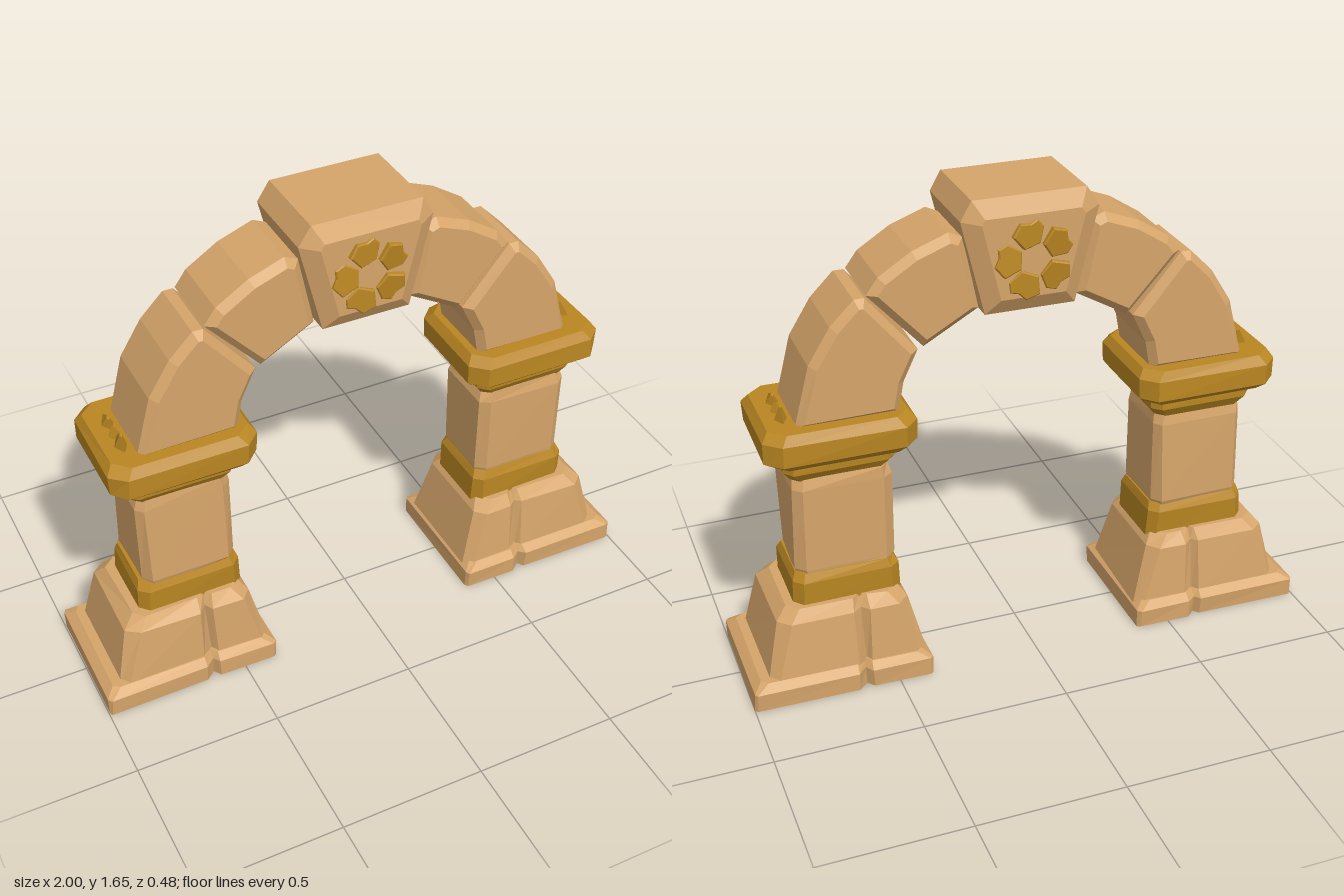
import * as THREE from 'three';

const sandstone = new THREE.MeshStandardMaterial({ color: 0xd6a56a, flatShading: true });
sandstone.name = 'sandstone';
const gold = new THREE.MeshStandardMaterial({ color: 0xb98622, flatShading: true });
gold.name = 'old gold';

// Small seeded noise for the hewn look
let seed = 7;
const rough = (amount) => {
  seed = (seed * 16807) % 2147483647;
  return (seed / 2147483647 - 0.5) * 2 * amount;
};

function addMesh(parent, name, geometry, material) {
  const mesh = new THREE.Mesh(geometry, material);
  mesh.name = name;
  parent.add(mesh);
  return mesh;
}

// Rectangle with cut corners; optional V-shaped cracks in front and back
function outline(w, d, c, crack) {
  const pts = [[-w + c, -d]];
  if (crack !== undefined) pts.push([crack - 0.03, -d], [crack, -d + 0.03], [crack + 0.02, -d + 0.004]);
  pts.push([w - c, -d], [w, -d + c], [w, d - c], [w - c, d]);
  if (crack !== undefined) pts.push([crack + 0.03, d], [crack, d - 0.025], [crack - 0.02, d - 0.004]);
  pts.push([-w + c, d], [-w, d - c], [-w, -d + c]);
  return pts;
}

// Stack outlines given as [y, halfWidth, halfDepth, cornerCut] and close both ends
function loft(rings, crack, noise = 0.003) {
  const verts = [];
  const index = [];
  let n = 0;
  let first, last;
  rings.forEach(([y, w, d, c], r) => {
    const pts = outline(w, d, c, crack);
    n = pts.length;
    if (r === 0) first = pts;
    last = pts;
    for (const [u, v] of pts) verts.push(u + rough(noise), y, -v + rough(noise));
  });
  for (let r = 0; r < rings.length - 1; r++) {
    for (let i = 0; i < n; i++) {
      const j = (i + 1) % n;
      const a = r * n + i, b = r * n + j;
      index.push(a, b, b + n, a, b + n, a + n);
    }
  }
  const cap = (pts) => THREE.ShapeUtils.triangulateShape(pts.map(([u, v]) => new THREE.Vector2(u, v)), []);
  const top = (rings.length - 1) * n;
  for (const [a, b, c] of cap(first)) index.push(a, c, b);
  for (const [a, b, c] of cap(last)) index.push(top + a, top + b, top + c);
  const geometry = new THREE.BufferGeometry();
  geometry.setAttribute('position', new THREE.Float32BufferAttribute(verts, 3));
  geometry.setIndex(index);
  geometry.computeVertexNormals();
  return geometry;
}

// Bevelled stone cut from a front outline, reaching halfDepth either way
function wedge(points, halfDepth, bevelSize, bevelThickness) {
  const shape = new THREE.Shape(points.map(([x, y]) => new THREE.Vector2(x, y)));
  const depth = 2 * (halfDepth - bevelThickness);
  const geometry = new THREE.ExtrudeGeometry(shape, {
    depth, bevelEnabled: true, bevelSegments: 1, bevelSize, bevelThickness, bevelOffset: -bevelSize,
  });
  return geometry.translate(0, 0, -depth / 2);
}

function createPillar() {
  const pillar = new THREE.Group();
  pillar.name = 'pillar';
  const stack = (name, x, rings, material, crack, noise) => {
    addMesh(pillar, name, loft(rings, crack, noise), material).position.x = x;
  };
  stack('plinth', -0.69, [
    [0, 0.308, 0.238, 0.01], [0.065, 0.308, 0.24, 0.01], [0.09, 0.275, 0.215, 0.02],
  ], sandstone, 0.08);
  stack('baseBlock', -0.665, [
    [0.07, 0.275, 0.214, 0.03], [0.28, 0.225, 0.192, 0.04], [0.32, 0.19, 0.16, 0.04],
  ], sandstone, 0.06, 0.005);
  stack('lowerBand', -0.64, [
    [0.3, 0.185, 0.142, 0.03], [0.4, 0.18, 0.145, 0.03], [0.43, 0.168, 0.13, 0.03],
  ], gold);
  stack('shaft', -0.637, [
    [0.41, 0.157, 0.125, 0.03], [0.44, 0.167, 0.133, 0.028],
    [0.74, 0.167, 0.133, 0.028], [0.78, 0.157, 0.125, 0.03],
  ], sandstone, undefined, 0.006);
  stack('neckBand', -0.64, [
    [0.765, 0.153, 0.115, 0.025], [0.81, 0.185, 0.145, 0.03], [0.87, 0.185, 0.145, 0.03],
  ], gold);
  stack('capital', -0.64, [
    [0.855, 0.228, 0.185, 0.05], [0.88, 0.25, 0.208, 0.05],
    [0.95, 0.25, 0.208, 0.05], [0.98, 0.228, 0.185, 0.05],
  ], gold);

  // Broken slivers along the outer edge of the capital
  for (const [z, h, lean] of [[0.07, 0.055, 0.2], [0, 0.03, -0.3], [-0.05, 0.04, 0.35]]) {
    const shard = addMesh(pillar, 'shard', new THREE.CylinderGeometry(0.006, 0.028, h, 4), gold);
    shard.position.set(-0.81, 0.975 + h / 2, z);
    shard.scale.set(0.8, 1, 1.6);
    shard.rotation.x = lean;
  }
  return pillar;
}

function createArchSide() {
  const side = new THREE.Group();
  side.name = 'archSide';
  addMesh(side, 'lowerArchStone', wedge([
    [-0.78, 0.965], [-0.44, 0.965], [-0.42, 1.07], [-0.37, 1.175],
    [-0.535, 1.375], [-0.57, 1.375], [-0.65, 1.295], [-0.725, 1.175],
  ], 0.147, 0.025, 0.025), sandstone);
  addMesh(side, 'upperArchStone', wedge([
    [-0.35, 1.18], [-0.165, 1.285], [-0.215, 1.53], [-0.26, 1.55],
    [-0.38, 1.505], [-0.49, 1.435], [-0.53, 1.38],
  ], 0.143, 0.025, 0.025), sandstone);
  return side;
}

// Five folded petals around an open centre
function createRosette() {
  const rosette = new THREE.Group();
  rosette.name = 'rosette';
  const polar = (r, a) => [r * Math.sin(a), r * Math.cos(a)];
  const petal = wedge([
    polar(0.055, -0.55), polar(0.115, -0.5), polar(0.135, -0.15),
    polar(0.122, 0.1), polar(0.132, 0.3), polar(0.11, 0.52), polar(0.055, 0.55),
  ].reverse(), 0.011, 0.004, 0.004);
  for (let i = 0; i < 5; i++) {
    const holder = new THREE.Group();
    holder.name = 'petalHolder';
    holder.rotation.z = (i * 2 * Math.PI) / 5 + 0.25;
    addMesh(holder, 'petal', petal, gold).rotation.y = 0.13;
    rosette.add(holder);
  }
  rosette.position.set(0, 1.45, 0.184);
  return rosette;
}

export function createModel() {
  const model = new THREE.Group();
  model.name = 'stoneArch';

  // Each half is the other turned half a circle about the middle
  for (const turn of [0, Math.PI]) {
    const half = new THREE.Group();
    half.name = turn ? 'leftHalf' : 'rightHalf';
    half.add(createPillar(), createArchSide(), createRosette());
    half.rotation.y = turn;
    model.add(half);
  }

  addMesh(model, 'keystone', wedge([
    [-0.15, 1.27], [0.155, 1.27], [0.232, 1.59], [0.195, 1.655], [-0.185, 1.655], [-0.228, 1.59],
  ], 0.184, 0.055, 0.034), sandstone);
  return model;
}
